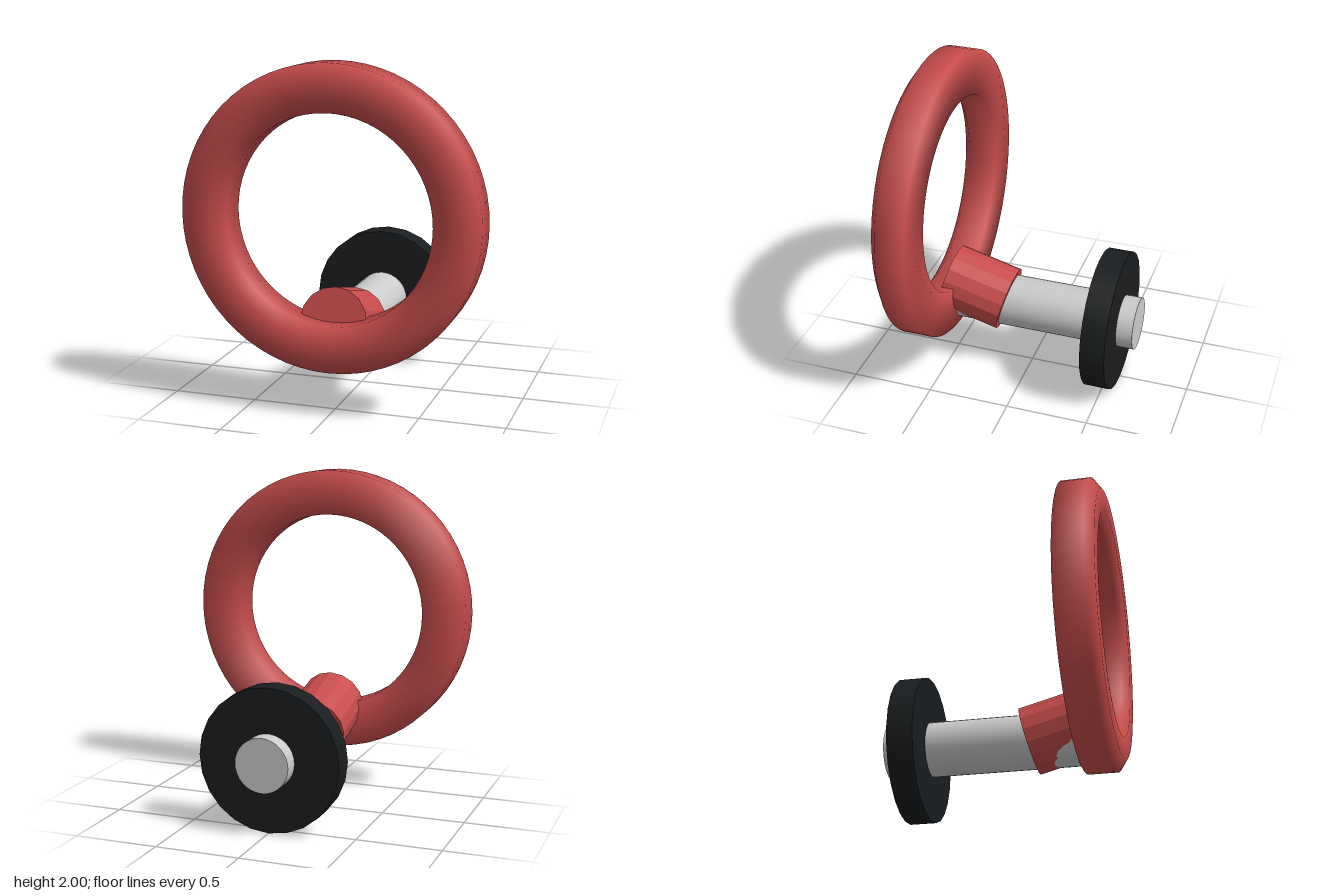
import * as THREE from 'three';
import { toCreasedNormals } from 'three/addons/utils/BufferGeometryUtils.js';

const red = new THREE.MeshStandardMaterial({ color: 0xc84c4c });
const redFlat = new THREE.MeshStandardMaterial({ color: 0xc84c4c, flatShading: true });
const black = new THREE.MeshStandardMaterial({ color: 0x1a1d1f });
const grey = new THREE.MeshStandardMaterial({ color: 0xcccccc });

export function createModel() {
  const model = new THREE.Group();

  function add(name, geometry, material) {
    const mesh = new THREE.Mesh(geometry, material);
    mesh.name = name;
    model.add(mesh);
    return mesh;
  }

  // Cylinder lying along z between two depths
  function rod(radius, z0, z1, sides) {
    const g = new THREE.CylinderGeometry(radius, radius, z1 - z0, sides);
    g.rotateX(Math.PI / 2);
    return toCreasedNormals(g.translate(0, 0.425, (z0 + z1) / 2), Math.PI / 5);
  }

  // Ring with a flat back and bevelled front, softly shaded
  const section = [
    [0.6, 0.45], [0.872, 0.45], [0.872, 0.625], [0.8, 0.675],
    [0.672, 0.675], [0.6, 0.625], [0.6, 0.45],
  ].map(([r, z]) => new THREE.Vector2(r, z));
  const ringGeometry = new THREE.LatheGeometry(section, 64);
  ringGeometry.rotateX(Math.PI / 2);
  add('ring', toCreasedNormals(ringGeometry, Math.PI * 0.6), red).position.y = 1.128;

  // Tilted socket joining the ring to the shaft
  const socket = add('socket', new THREE.CylinderGeometry(0.2, 0.2, 0.39, 16), redFlat);
  socket.position.set(0, 0.48, 0.343);
  socket.rotation.x = Math.PI / 2 - Math.PI / 12;

  // Shaft and the disc it carries
  add('shaft', rod(0.16, -0.675, 0.5, 32), grey);
  add('disc', rod(0.425, -0.575, -0.425, 24), black);

  return model;
}
